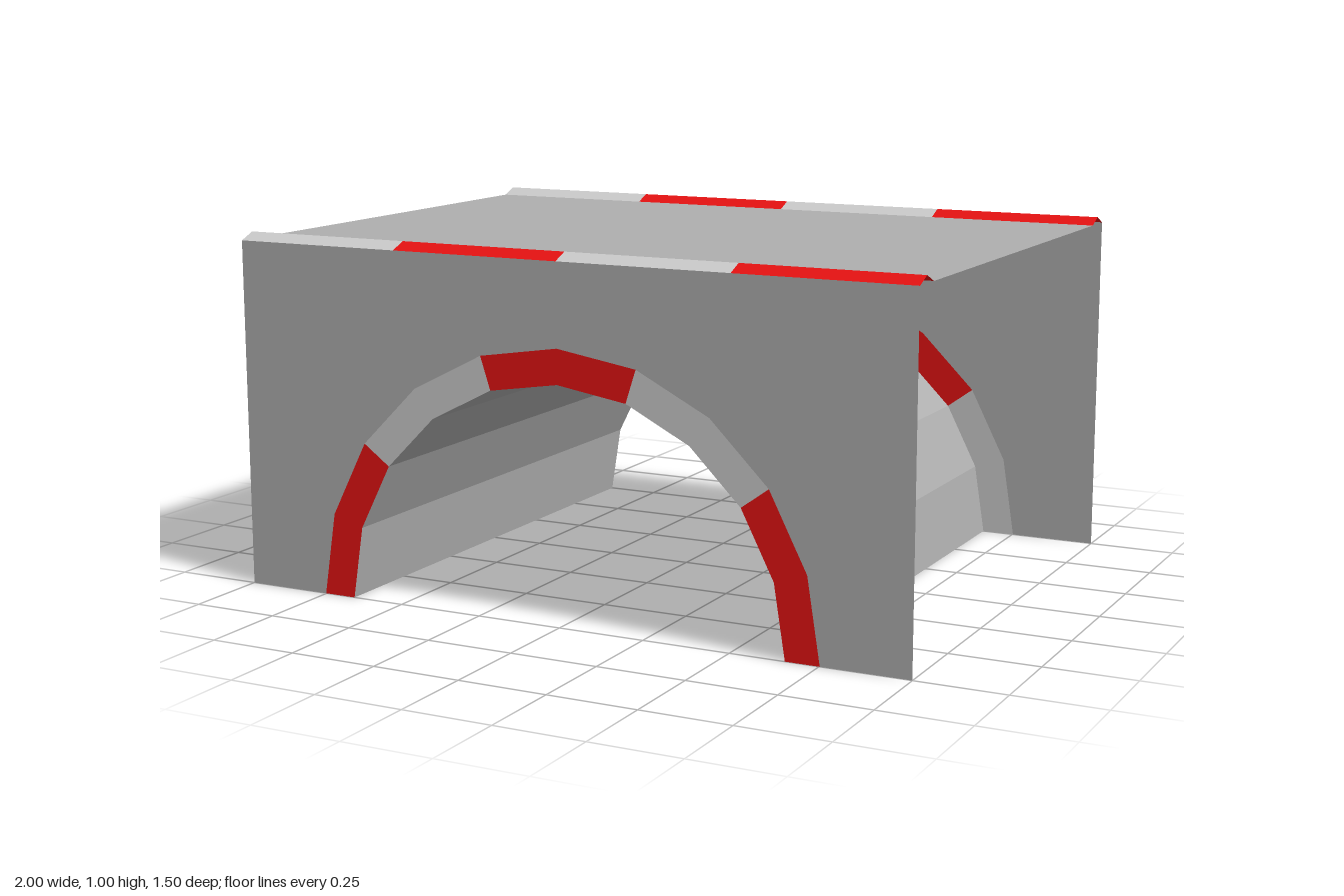
import * as THREE from 'three';

const material = (color) =>
  new THREE.MeshStandardMaterial({ color, flatShading: true, side: THREE.DoubleSide });

const HALF_X = 1, HALF_Z = 0.75, DECK_Y = 0.98, KERB_Y = 1.0;
const KERB_RIDGE = 0.703, KERB_INNER = 0.656;
const R_IN = 0.656, R_OUT = 0.752, SIDES = 10;

// Points of a half circle, from +x over the top to -x
function arch(radius, z = 0, from = 0, to = SIDES) {
  const points = [];
  for (let i = from; i <= to; i++) {
    const a = (Math.PI * i) / SIDES;
    points.push(new THREE.Vector3(radius * Math.cos(a), radius * Math.sin(a), z));
  }
  return points;
}

// Flat-shaded sheet between two rows of points
function sheet(a, b) {
  const pos = [];
  for (let i = 0; i + 1 < a.length; i++) {
    for (const p of [a[i], b[i], b[i + 1], a[i], b[i + 1], a[i + 1]]) pos.push(p.x, p.y, p.z);
  }
  const geometry = new THREE.BufferGeometry();
  geometry.setAttribute('position', new THREE.Float32BufferAttribute(pos, 3));
  geometry.computeVertexNormals();
  return geometry;
}

export function createModel() {
  const model = new THREE.Group();
  model.name = 'tunnelBridge';
  const concrete = material(0xaeaeae);
  const pale = material(0xcccccc);
  const red = material(0xe61212);

  const add = (parent, name, geometry, mat) => {
    const mesh = new THREE.Mesh(geometry, mat);
    mesh.name = name;
    parent.add(mesh);
    return mesh;
  };

  // End wall outline with the arch cut out of its lower edge
  const outline = new THREE.Shape([
    new THREE.Vector2(-HALF_X, 0),
    ...arch(R_OUT).reverse().map((p) => new THREE.Vector2(p.x, p.y)),
    new THREE.Vector2(HALF_X, 0),
    new THREE.Vector2(HALF_X, DECK_Y),
    new THREE.Vector2(-HALF_X, DECK_Y),
  ]);
  const wallGeometry = new THREE.ShapeGeometry(outline);

  // Each end: wall and five striped arch bands, colours alternating between ends
  ['front', 'back'].forEach((end, e) => {
    const group = new THREE.Group();
    group.name = end + 'End';
    group.rotation.y = e * Math.PI;
    model.add(group);
    add(group, end + 'Wall', wallGeometry, concrete).position.z = HALF_Z;
    for (let k = 0; k < 5; k++) {
      const inner = arch(R_IN, HALF_Z, 2 * k, 2 * k + 2);
      const outer = arch(R_OUT, HALF_Z, 2 * k, 2 * k + 2);
      add(group, end + 'ArchBand', sheet(inner, outer), (k + e) % 2 ? pale : red);
    }
  });

  // Vaulted lining through the tunnel
  add(model, 'archLining', sheet(arch(R_IN, -HALF_Z), arch(R_IN, HALF_Z)), concrete);

  // Deck between the kerbs
  const deck = new THREE.PlaneGeometry(2 * HALF_X, 2 * KERB_INNER).rotateX(-Math.PI / 2);
  add(model, 'deck', deck, concrete).position.y = DECK_Y;

  // Low ridged kerbs in four striped lengths, open underneath
  for (const side of [1, -1]) {
    const profile = [[HALF_Z, DECK_Y], [KERB_RIDGE, KERB_Y], [KERB_INNER, DECK_Y]];
    if (side < 0) profile.reverse();
    const row = (x) => profile.map(([z, y]) => new THREE.Vector3(x, y, side * z));
    for (let k = 0; k < 4; k++) {
      const x = -HALF_X + k * 0.5;
      add(model, side > 0 ? 'frontKerb' : 'backKerb', sheet(row(x), row(x + 0.5)), k % 2 ? red : pale);
    }
  }

  return model;
}
